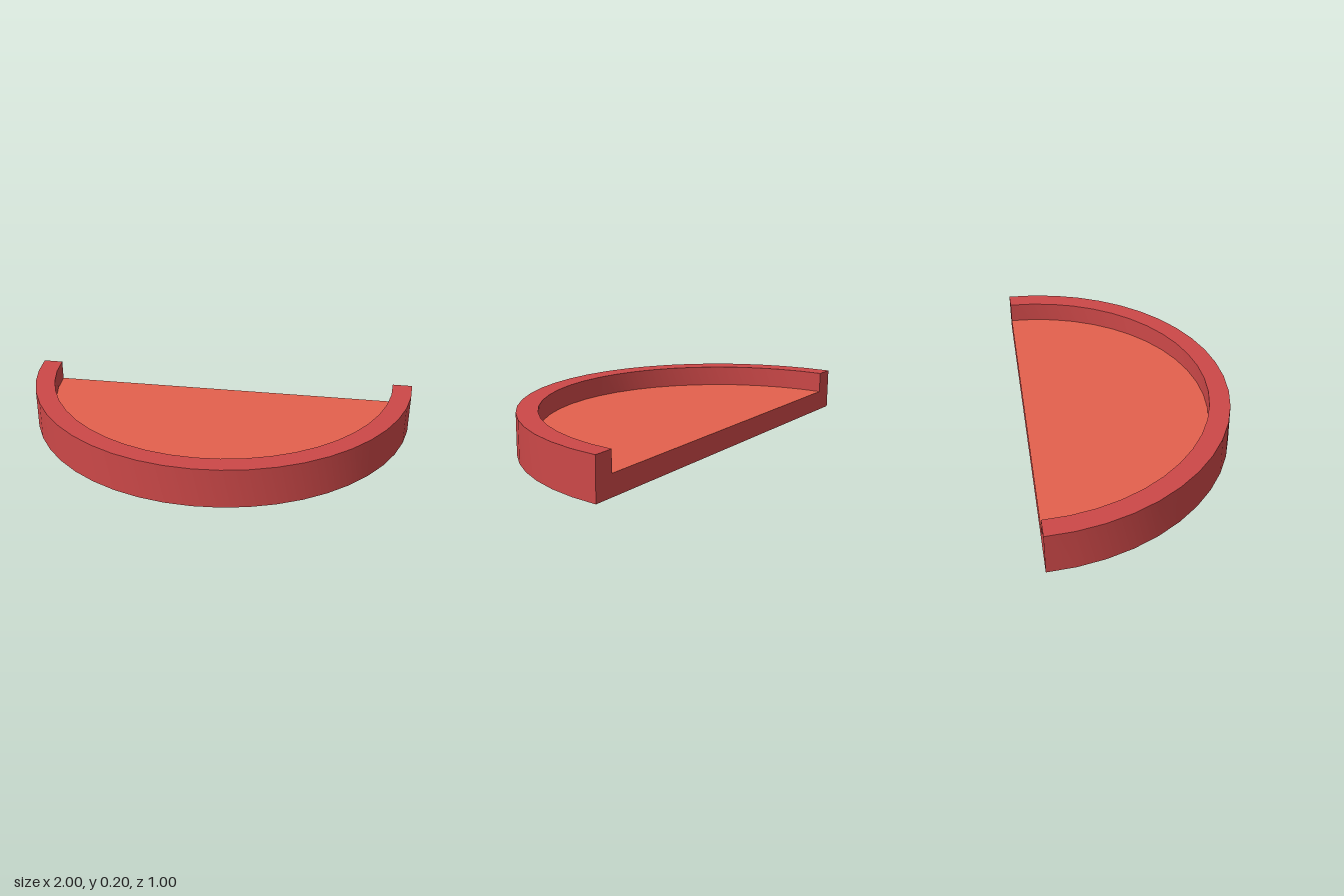
import * as THREE from 'three';
import { toCreasedNormals } from 'three/addons/utils/BufferGeometryUtils.js';

const OUTER = 1, INNER = 0.9, HEIGHT = 0.2, FLOOR = 0.1, SEGMENTS = 24;
const BACK_Z = -0.5;

function addPart(group, name, geometry, material) {
  const mesh = new THREE.Mesh(geometry, material);
  mesh.name = name;
  mesh.position.z = BACK_Z;
  group.add(mesh);
}

export function createModel() {
  const group = new THREE.Group();
  group.name = 'halfRoundTray';
  const rimMaterial = new THREE.MeshStandardMaterial({ color: 0xcc4848 });
  const floorMaterial = new THREE.MeshStandardMaterial({ color: 0xe4614d });

  // Underside, outer wall, rim and inner wall, swept through a half turn
  const profile = [[0, 0], [OUTER, 0], [OUTER, HEIGHT], [INNER, HEIGHT], [INNER, FLOOR]]
    .map(([r, y]) => new THREE.Vector2(r, y));
  const shell = new THREE.LatheGeometry(profile, SEGMENTS, -Math.PI / 2, Math.PI);
  addPart(group, 'shell', toCreasedNormals(shell, Math.PI / 6), rimMaterial);

  // Flat back with the step down from the rim to the floor
  const outline = [...profile.slice(1), ...profile.slice(1).reverse()
    .map((p) => new THREE.Vector2(-p.x, p.y))];
  const back = new THREE.ShapeGeometry(new THREE.Shape(outline)).rotateY(Math.PI);
  addPart(group, 'backFace', back, rimMaterial);

  // Recessed half-disc floor
  const floor = new THREE.CircleGeometry(INNER, SEGMENTS, Math.PI, Math.PI)
    .rotateX(-Math.PI / 2).translate(0, FLOOR, 0);
  addPart(group, 'floor', floor, floorMaterial);

  return group;
}
